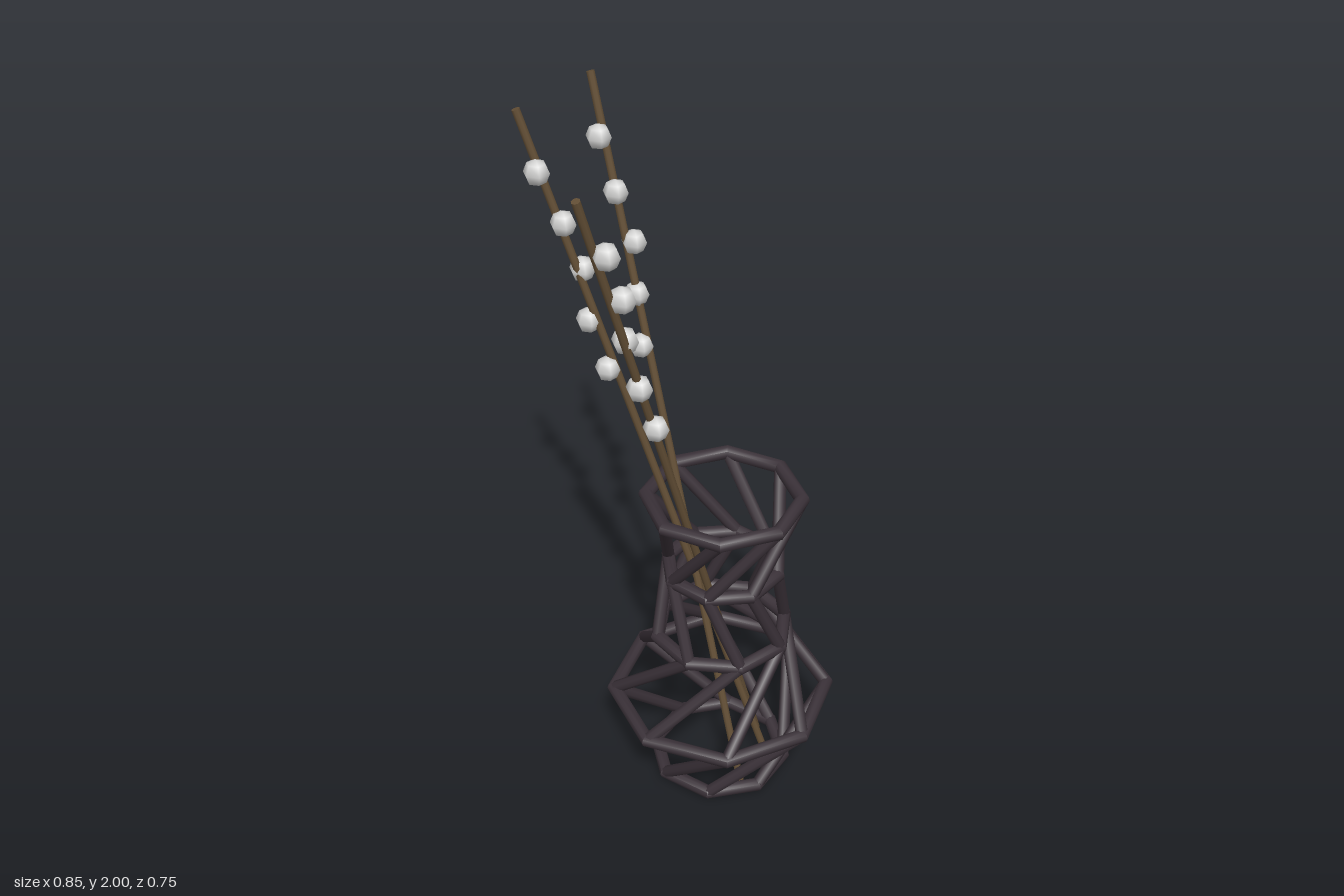
import * as THREE from 'three';
import { toCreasedNormals } from 'three/addons/utils/BufferGeometryUtils.js';

const SIDES = 8;
const START = THREE.MathUtils.degToRad(-2.5); // turn of the base hoop
const TWIST = THREE.MathUtils.degToRad(-58); // turn of each hoop against the one below
const CENTRE = new THREE.Vector3(0.108, 0, -0.06);
const BAR = 0.02;

// hoops from base to rim: [height, radius]
const HOOPS = [[0.019, 0.191], [0.267, 0.308], [0.497, 0.186], [0.716, 0.156], [0.947, 0.209]];

// corners skipped by the struts of each tier; the neck slants the other way
const STRUT_SKIP = [0, 0, 2, 0];

// stems with their buds: [x, y, z]
const STEMS = [
  {
    from: [0.25, 0.02, -0.06], to: [-0.411, 1.997, -0.06],
    buds: [[-0.36, 1.85, -0.038], [-0.303, 1.715, -0.05], [-0.267, 1.58, -0.078], [-0.25, 1.445, -0.06], [-0.2, 1.315, -0.047]],
  },
  {
    from: [0.2, 0.02, 0.07], to: [-0.302, 1.997, -0.322],
    buds: [[-0.27, 1.85, -0.268], [-0.223, 1.715, -0.245], [-0.177, 1.58, -0.245], [-0.165, 1.445, -0.217], [-0.145, 1.315, -0.177]],
  },
  {
    from: [0.2, 0.02, -0.165], to: [-0.14, 1.997, 0.365],
    buds: [[-0.087, 1.85, 0.327], [-0.067, 1.715, 0.275], [-0.075, 1.58, 0.23], [-0.045, 1.445, 0.22], [-0.013, 1.315, 0.19]],
  },
];

function rod(name, a, b, radius, material) {
  const mesh = new THREE.Mesh(new THREE.CylinderGeometry(radius, radius, a.distanceTo(b), 8), material);
  mesh.name = name;
  mesh.position.copy(a).lerp(b, 0.5);
  mesh.quaternion.setFromUnitVectors(new THREE.Vector3(0, 1, 0), b.clone().sub(a).normalize());
  return mesh;
}

function hoopCorner(level, k) {
  const [y, r] = HOOPS[level];
  const angle = START + level * TWIST + (k * Math.PI * 2) / SIDES;
  return new THREE.Vector3(Math.cos(angle) * r, y, Math.sin(angle) * r);
}

export function createModel() {
  const model = new THREE.Group();
  model.name = 'vaseWithBranches';

  const frameMat = new THREE.MeshStandardMaterial({ color: 0x3a3138 });
  frameMat.name = 'dark plum metal';
  const stemMat = new THREE.MeshStandardMaterial({ color: 0x624e35 });
  stemMat.name = 'brown bark';
  const budMat = new THREE.MeshStandardMaterial({ color: 0xd4d4d3 });
  budMat.name = 'pale grey bud';

  // lattice vase
  const vase = new THREE.Group();
  vase.name = 'latticeVase';
  vase.position.copy(CENTRE);
  model.add(vase);

  HOOPS.forEach(([y, r], level) => {
    // octagonal hoop with mitred corners
    const geo = new THREE.TorusGeometry(r, BAR, 10, SIDES);
    geo.rotateX(Math.PI / 2);
    geo.rotateY(-START - level * TWIST);
    const hoop = new THREE.Mesh(toCreasedNormals(geo, 0.7), frameMat);
    hoop.name = 'hoop';
    hoop.position.y = y;
    vase.add(hoop);

    // slanting struts up to the next hoop
    if (level === HOOPS.length - 1) return;
    for (let k = 0; k < SIDES; k++) {
      const top = hoopCorner(level + 1, k + STRUT_SKIP[level]);
      vase.add(rod('strut', hoopCorner(level, k), top, BAR * 0.88, frameMat));
    }
  });

  // branches with round buds
  const budGeo = new THREE.SphereGeometry(0.034, 6, 4);
  for (const { from, to, buds } of STEMS) {
    const branch = new THREE.Group();
    branch.name = 'branch';
    branch.add(rod('stem', new THREE.Vector3(...from), new THREE.Vector3(...to), 0.011, stemMat));
    for (const p of buds) {
      const bud = new THREE.Mesh(budGeo, budMat);
      bud.name = 'bud';
      bud.position.set(...p);
      branch.add(bud);
    }
    model.add(branch);
  }
  return model;
}
